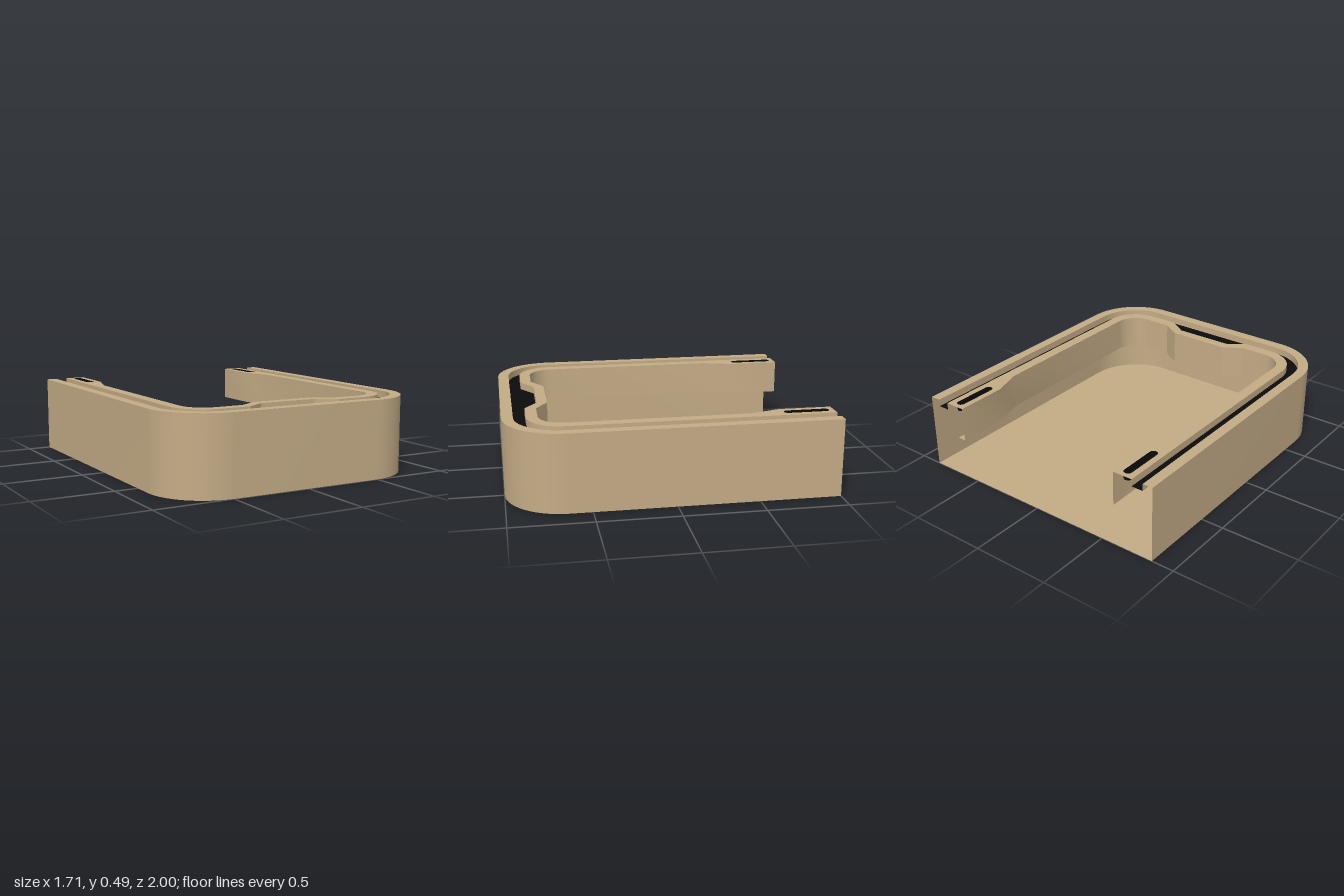
import * as THREE from 'three';
import { toCreasedNormals } from 'three/addons/utils/BufferGeometryUtils.js';

const HEIGHT = 0.485, GROOVE_Y = 0.44, LIP_Y = 0.265, BACK = -1;

const tan = new THREE.MeshStandardMaterial({ color: 0xc4ac86, side: THREE.DoubleSide });
const black = new THREE.MeshStandardMaterial({ color: 0x0c0c0c, side: THREE.DoubleSide });

// U-shaped outline open at the back, as Vector2(x, z), running from +x round to -x
function outline(halfWidth, front, radius, { neck = 0, bump = null } = {}) {
  const half = [];
  if (neck) half.push([halfWidth - neck, BACK], [halfWidth - neck, -0.67], [halfWidth, -0.48]);
  else half.push([halfWidth, BACK]);
  const steps = 16;
  for (let i = 0; i <= steps; i++) {
    const a = (i / steps) * Math.PI / 2;
    half.push([halfWidth - radius + radius * Math.cos(a), front - radius + radius * Math.sin(a)]);
  }
  if (bump) half.push([bump.outer, front], [bump.inner, front - bump.depth]);
  const mirrored = half.map(([x, z]) => [-x, z]).reverse();
  return [...half, ...mirrored].map(([x, z]) => new THREE.Vector2(x, z));
}

// Stadium outline of a slot that runs along z
function slotOutline(x, z0, z1, r) {
  const pts = [], steps = 10;
  for (const [z, start] of [[z1 - r, 0], [z0 + r, Math.PI]]) {
    for (let i = 0; i <= steps; i++) {
      const a = start + (i / steps) * Math.PI;
      pts.push(new THREE.Vector2(x + r * Math.cos(a), z + r * Math.sin(a)));
    }
  }
  return pts;
}

// Upright strip along an outline
function wall(points, y0, y1, closed = false) {
  const pts = closed ? [...points, points[0]] : points;
  const position = [], index = [];
  pts.forEach((p, i) => {
    position.push(p.x, y0, p.y, p.x, y1, p.y);
    if (i) {
      const a = 2 * i - 2;
      index.push(a, a + 1, a + 2, a + 1, a + 3, a + 2);
    }
  });
  const g = new THREE.BufferGeometry();
  g.setAttribute('position', new THREE.Float32BufferAttribute(position, 3));
  g.setIndex(index);
  return toCreasedNormals(g, 0.4);
}

// Flat sheet at height y, facing up
function sheet(points, y, holes = []) {
  const flip = (list) => list.map((p) => new THREE.Vector2(p.x, -p.y));
  const shape = new THREE.Shape(flip(points));
  holes.forEach((h) => shape.holes.push(new THREE.Path(flip(h))));
  return new THREE.ShapeGeometry(shape).rotateX(-Math.PI / 2).translate(0, y, 0);
}

const band = (outer, inner, y, holes) => sheet([...outer, ...[...inner].reverse()], y, holes);

export function createModel() {
  const model = new THREE.Group();
  const add = (name, geometry, material = tan) => {
    const mesh = new THREE.Mesh(geometry, material);
    mesh.name = name;
    model.add(mesh);
  };

  const outer = outline(0.855, 1, 0.36);
  const grooveOuter = outline(0.79, 0.93, 0.29);
  const grooveInner = outline(0.715, 0.855, 0.215, { bump: { outer: 0.31, inner: 0.19, depth: 0.08 } });
  const rimInner = outline(0.645, 0.785, 0.15, { neck: 0.058, bump: { outer: 0.32, inner: 0.2, depth: 0.075 } });
  const lipOuter = outline(0.7, 0.84, 0.205, { neck: 0.058, bump: { outer: 0.31, inner: 0.19, depth: 0.075 } });
  const slots = [1, -1].map((s) => slotOutline(0.65 * s, -0.97, -0.685, 0.026));

  // Thin outer shell
  add('floor', sheet(outer, 0));
  add('outerWall', wall(outer, 0, HEIGHT));

  // Hollow rim with an inner skirt and a narrow lip beneath
  add('outerRimTop', band(outer, grooveOuter, HEIGHT));
  add('innerRimTop', band(grooveInner, rimInner, HEIGHT, slots));
  add('rimSkirt', wall(rimInner, LIP_Y, HEIGHT));
  add('rimLip', band(lipOuter, rimInner, LIP_Y));

  // Dark seal groove
  add('grooveFloor', band(grooveOuter, grooveInner, GROOVE_Y), black);
  add('grooveOuterSide', wall(grooveOuter, GROOVE_Y, HEIGHT));
  add('grooveInnerSide', wall(grooveInner, GROOVE_Y, HEIGHT));

  // Dark slots at the back of each arm
  slots.forEach((slot, i) => {
    const side = i ? 'right' : 'left';
    add(side + 'SlotFloor', sheet(slot, GROOVE_Y), black);
    add(side + 'SlotSide', wall(slot, GROOVE_Y, HEIGHT, true), black);
  });

  return model;
}
